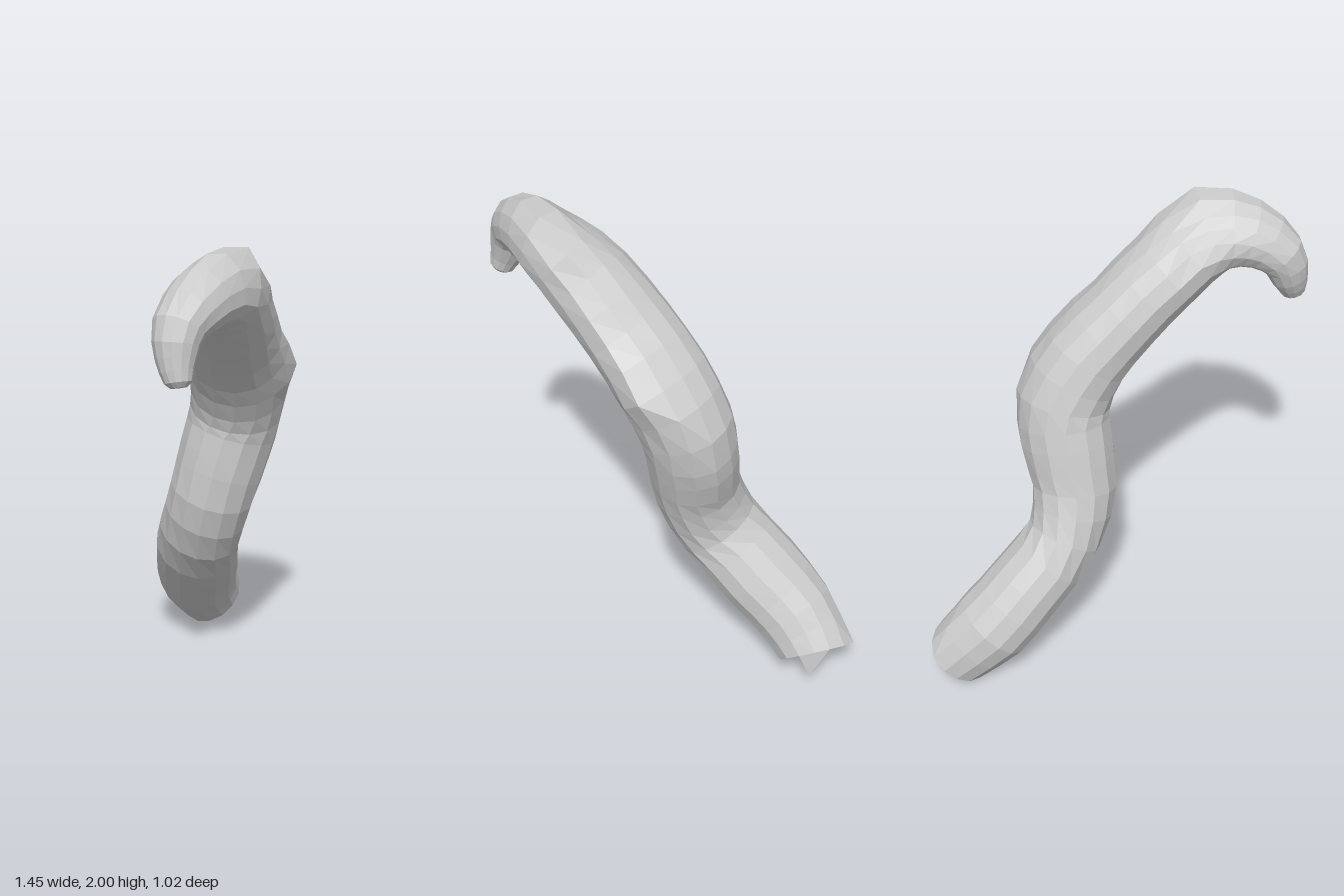
import * as THREE from 'three';

const SIDES = 14;
const STEP = (Math.PI * 2) / SIDES;

// stations along the limb: centre x, y, z, radius, depth factor (front to back),
// ridge height, ridge corner (counted from the outer side to the front), hollow on the outer back
const STATIONS = [
  [0.605, 0.085, -0.35, 0.148, 1, 0.16, -2, 0],
  [0.465, 0.235, -0.325, 0.172, 1.03, 0, -1, 0],
  [0.33, 0.395, -0.235, 0.165, 1.14, 0, 0, 0],
  [0.185, 0.595, -0.115, 0.158, 1.14, 0, 0, 0],
  [0.155, 0.80, -0.03, 0.177, 1.03, 0, 0, 0],
  [0.19, 1.00, 0.015, 0.19, 1, 0.06, 0, 0],
  [0.205, 1.17, 0.055, 0.19, 1.02, 0.08, 0.5, 0],
  [0.12, 1.36, 0.115, 0.18, 1.1, 0.3, 2, 0],
  [-0.025, 1.535, 0.182, 0.166, 1.17, 0.14, 2, 0.03],
  [-0.18, 1.70, 0.26, 0.163, 1.18, 0.08, 1.5, 0.12],
  [-0.345, 1.825, 0.34, 0.155, 1.13, 0.27, 1, 0.3],
  [-0.50, 1.82, 0.372, 0.13, 1.03, 0.12, 1, 0.1],
  [-0.625, 1.745, 0.375, 0.102, 1, 0, 1, 0],
  [-0.665, 1.64, 0.39, 0.077, 1, 0, 1, 0],
  [-0.683, 1.56, 0.415, 0.052, 1, 0, 1, 0],
];

const curve = new THREE.CatmullRomCurve3(STATIONS.map(([x, y, z]) => new THREE.Vector3(x, y, z)));

// ring of points across the limb; t runs 0..1 from the open end to the tip
function ring(t, scale = 1, shift = () => 0) {
  const f = t * (STATIONS.length - 1);
  const i = Math.min(Math.floor(f), STATIONS.length - 2);
  const mix = (k) => THREE.MathUtils.lerp(STATIONS[i][k], STATIONS[i + 1][k], f - i);
  const bump = (angle, power) => Math.max(0, Math.cos(angle)) ** power;
  const centre = curve.getPoint(t);
  const along = curve.getTangent(t);
  const outer = along.clone().cross(new THREE.Vector3(0, 0, 1)).normalize();
  const front = outer.clone().cross(along);
  const points = [];
  for (let j = 0; j < SIDES; j++) {
    const a = j * STEP;
    const ridge = mix(5) * bump(a - mix(6) * STEP, 8);
    const hollow = mix(7) * bump(a + Math.PI / 4, 4);
    const r = mix(3) * scale * (1 + ridge - hollow);
    points.push(centre.clone()
      .addScaledVector(outer, r * Math.cos(a))
      .addScaledVector(front, r * Math.sin(a) * mix(4))
      .addScaledVector(along, shift(j)));
  }
  return points;
}

const material = new THREE.MeshStandardMaterial({
  color: 0xcccccc, flatShading: true, side: THREE.DoubleSide,
});

function addMesh(group, name, points, index) {
  const geometry = new THREE.BufferGeometry().setFromPoints(points);
  geometry.setIndex(index);
  geometry.computeVertexNormals();
  const mesh = new THREE.Mesh(geometry, material);
  mesh.name = name;
  group.add(mesh);
}

// skin a list of rings
function addSkin(group, name, rings) {
  const index = [];
  for (let i = 0; i < rings.length - 1; i++) {
    for (let j = 0; j < SIDES; j++) {
      const a = i * SIDES + j, d = i * SIDES + (j + 1) % SIDES;
      const b = a + SIDES, c = d + SIDES;
      index.push(a, b, c, a, c, d);
    }
  }
  addMesh(group, name, rings.flat(), index);
}

export function createModel() {
  const group = new THREE.Group();
  group.name = 'curvedLimb';

  // open end, cut back towards the front
  const cut = (j) => 0.04 * Math.sin(j * STEP);
  const rim = ring(0, 1, cut);

  // main body, with the tip closed
  const steps = (STATIONS.length - 1) * 2;
  const rings = [rim];
  for (let i = 1; i <= steps; i++) rings.push(ring(i / steps));
  rings.push(ring(1, 0.6, () => 0.018), ring(1, 0, () => 0.02));
  addSkin(group, 'body', rings);

  // ragged flap folded into the open end
  addSkin(group, 'raggedRim', [ring(0, 0.85, (j) => cut(j) + (j % 2 ? 0.05 : 0.015)), rim]);

  // torn splinter hanging from the outer edge of the opening
  addMesh(group, 'tornSplinter', [rim[0], rim[2], new THREE.Vector3(0.685, 0.05, -0.27)], [0, 1, 2]);

  return group;
}
